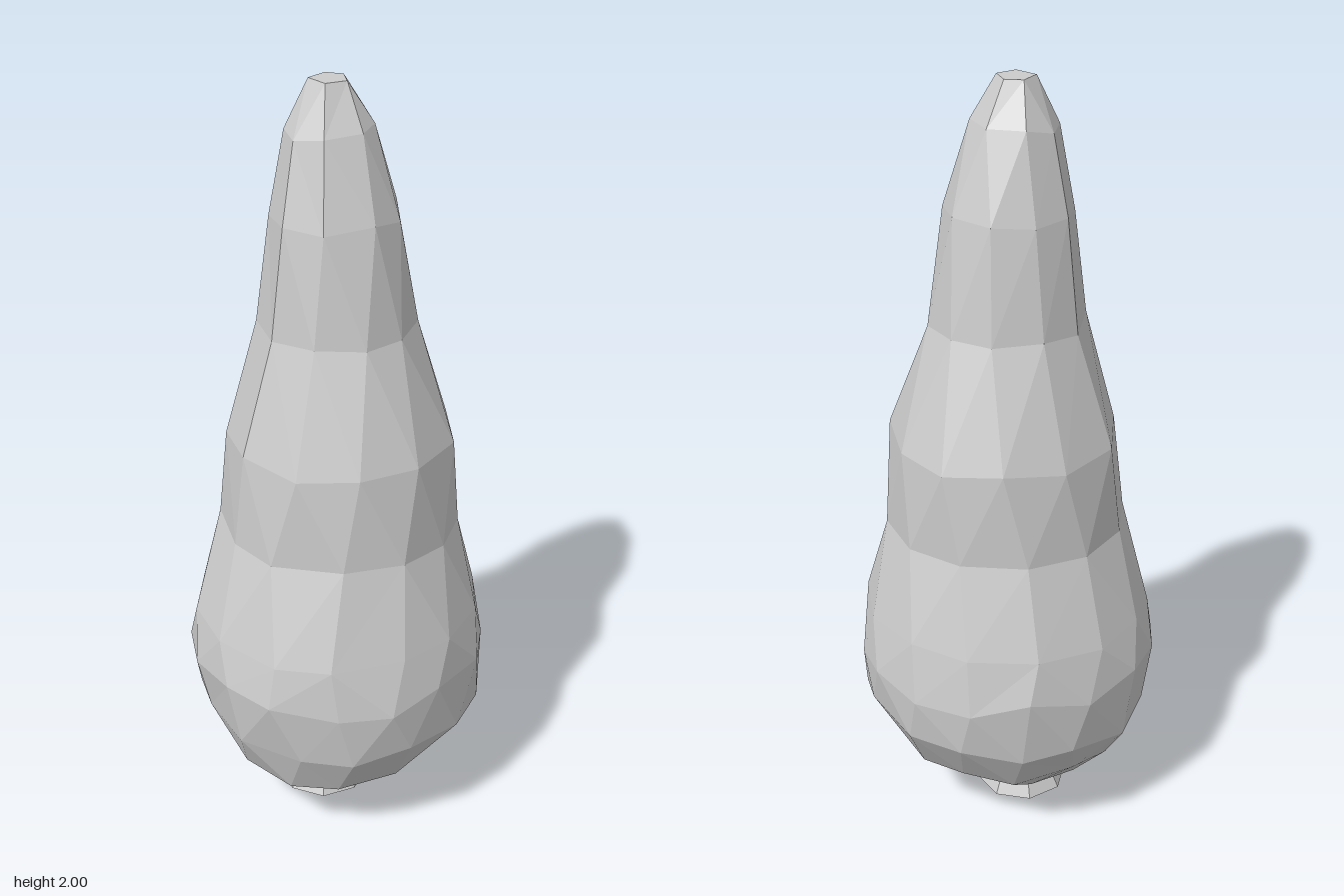
import * as THREE from 'three';

// small seeded noise in [-1, 1]
function makeNoise(seed) {
  return () => {
    seed = (seed * 16807) % 2147483647;
    return (seed / 2147483647) * 2 - 1;
  };
}

// foliage cross-sections: y, centre x, centre z, radius, sides, height wobble
const rings = [
  [0.07, -0.01, 0.00, 0.09, 7, 0],
  [0.12, -0.02, 0.01, 0.22, 10, 0.012],
  [0.20, -0.01, 0.01, 0.305, 13, 0.018],
  [0.33, 0.01, 0.00, 0.378, 15, 0.025],
  [0.49, 0.00, 0.00, 0.398, 16, 0.025],
  [0.61, 0.00, 0.00, 0.375, 14, 0.02],
  [0.85, 0.01, 0.00, 0.308, 12, 0.008],
  [1.10, 0.015, -0.005, 0.292, 11, 0.01],
  [1.40, 0.005, 0.00, 0.198, 10, 0.008],
  [1.68, 0.00, 0.00, 0.162, 9, 0.015],
  [1.88, -0.015, 0.00, 0.107, 8, 0.02],
  [2.00, -0.015, -0.005, 0.048, 5, 0],
];

// faceted skin through rings with differing side counts
function foliageGeometry() {
  const noise = makeNoise(4217);
  const loops = rings.map(([y, cx, cz, r, n, wobble], k) => {
    const phase = k % 2 ? 0.5 : 0.05;
    const points = [];
    for (let i = 0; i < n; i++) {
      const a = ((i + phase + noise() * 0.12) / n) * Math.PI * 2;
      const rr = r * (1 + noise() * 0.015);
      points.push([cx + Math.cos(a) * rr, y + noise() * wobble, cz + Math.sin(a) * rr]);
    }
    return { points, n, phase, centre: [cx, y, cz] };
  });
  const pos = [];
  const tri = (a, b, c) => pos.push(...a, ...b, ...c);
  const at = (loop, i) => loop.points[i % loop.n];

  for (let k = 0; k + 1 < loops.length; k++) {
    const low = loops[k], up = loops[k + 1];
    let i = 0, j = 0;
    while (i < low.n || j < up.n) {
      const nextLow = (i + 1 + low.phase) / low.n;
      const nextUp = (j + 1 + up.phase) / up.n;
      if (j >= up.n || (i < low.n && nextLow <= nextUp)) {
        tri(at(low, i), at(up, j), at(low, i + 1));
        i++;
      } else {
        tri(at(low, i), at(up, j), at(up, j + 1));
        j++;
      }
    }
  }
  // close underside and tip
  const bottom = loops[0], top = loops[loops.length - 1];
  for (let i = 0; i < bottom.n; i++) tri(bottom.centre, at(bottom, i), at(bottom, i + 1));
  for (let i = 0; i < top.n; i++) tri(top.centre, at(top, i + 1), at(top, i));

  const geometry = new THREE.BufferGeometry();
  geometry.setAttribute('position', new THREE.Float32BufferAttribute(pos, 3));
  geometry.computeVertexNormals();
  return geometry;
}

export function createModel() {
  const tree = new THREE.Group();
  tree.name = 'cypressTree';

  const foliage = new THREE.Mesh(
    foliageGeometry(),
    new THREE.MeshStandardMaterial({ color: 0xcccccc, flatShading: true })
  );
  foliage.name = 'foliage';
  tree.add(foliage);

  // short flared trunk, open at the bottom
  const trunk = new THREE.Mesh(
    new THREE.CylinderGeometry(0.08, 0.124, 0.085, 8, 1, true),
    new THREE.MeshStandardMaterial({ color: 0xcccccc, flatShading: true, side: THREE.DoubleSide })
  );
  trunk.name = 'trunk';
  trunk.position.set(-0.035, 0.0425, -0.005);
  tree.add(trunk);

  return tree;
}
